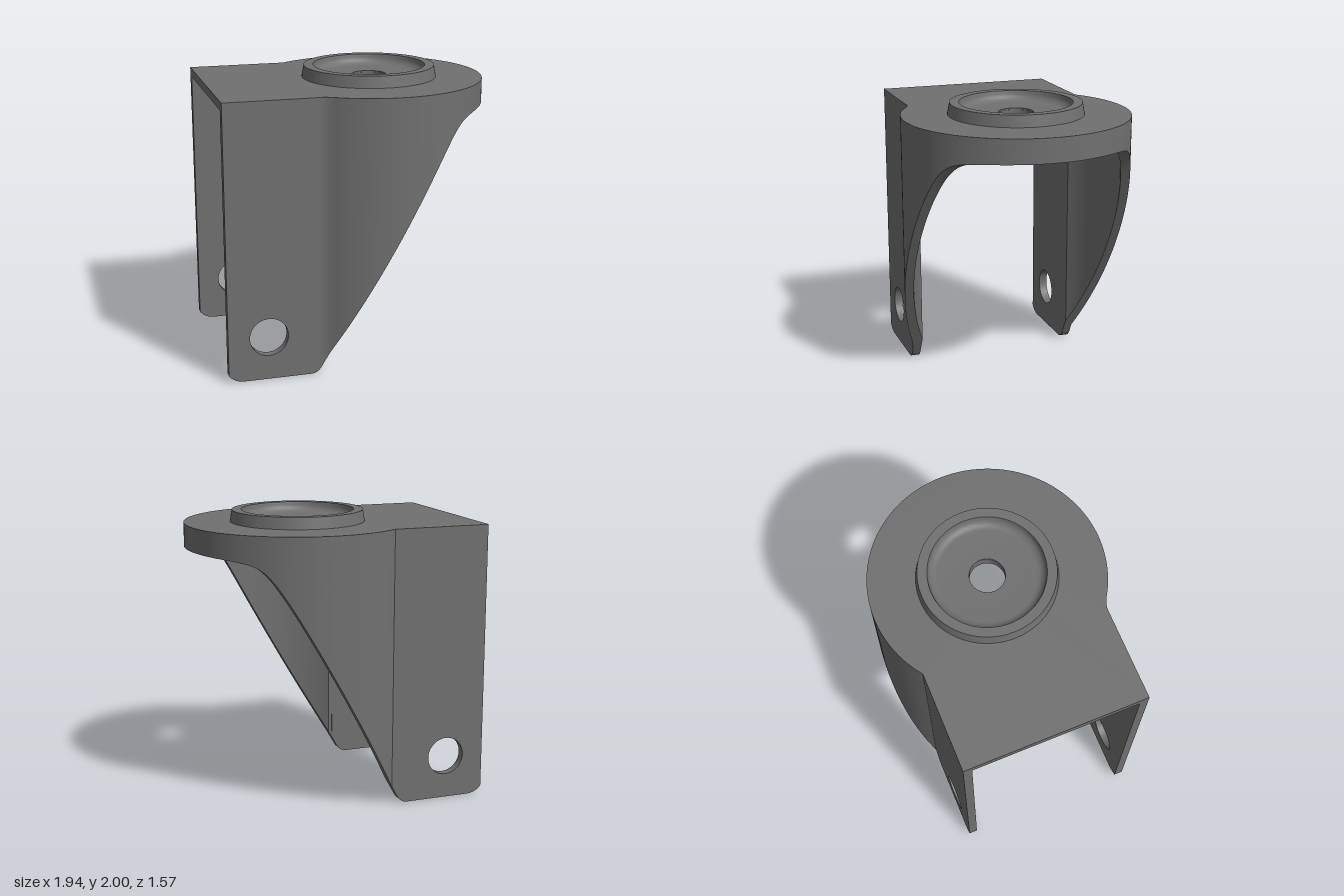
import * as THREE from 'three';
import { toCreasedNormals } from 'three/addons/utils/BufferGeometryUtils.js';

const CX = 0.183;                 // swivel axis
const R_OUT = 0.785, R_IN = 0.72; // curved wall radii
const Z_OUT = 0.63, Z_IN = 0.57;  // flat arm faces
const BACK = -0.97, TOP = 1.92, UNDER = 1.86;
const HOLE_R = 0.118;
const GAP = 0.001;                // keeps hidden faces just under the top skin
const T_OUT = Math.PI - Math.asin(Z_OUT / R_OUT);
const T_IN = Math.PI - Math.asin(Z_IN / R_IN);
const JOIN = CX + R_OUT * Math.cos(T_OUT);
const FILLET_X = -0.335, FILLET_T = Math.acos(-0.423 / R_OUT);
const ARC_STEPS = 128, FILLET_STEPS = 8;

// lower edge of the wall: a slanted line blending into a level rim
function edgeHeight(x) {
  const a = 1 + 1.8 * (x - 0.2), b = 1.766;
  return (a + b - Math.hypot(a - b, 0.17)) / 2;
}

// plan points (x, z) round the swivel axis, from the front arm to the back arm
function arcPoints(r, from, to) {
  return Array.from({ length: ARC_STEPS + 1 }, (_, i) => {
    const t = from + (to - from) * i / ARC_STEPS;
    return new THREE.Vector2(CX + r * Math.cos(t), r * Math.sin(t));
  });
}

// outer outline: a small fillet at the front joint, a sharp joint at the back
function outerPath() {
  const arc = arcPoints(R_OUT, FILLET_T, -T_OUT);
  const fillet = new THREE.QuadraticBezierCurve(
    new THREE.Vector2(FILLET_X, Z_OUT), new THREE.Vector2(-0.288, Z_OUT), arc[0]);
  return [...fillet.getPoints(FILLET_STEPS).slice(0, -1), ...arc, new THREE.Vector2(JOIN, -Z_OUT)];
}

function innerPath() {
  const arc = arcPoints(R_IN, T_IN, -T_IN);
  const lead = new THREE.LineCurve(new THREE.Vector2(FILLET_X, Z_IN + 0.002), arc[0]);
  return [...lead.getPoints(FILLET_STEPS).slice(0, -1), ...arc, new THREE.Vector2(JOIN, -Z_IN)];
}

// plan shape of a path closed along the back edge, with the swivel hole
function planShape(path, z) {
  const corners = [new THREE.Vector2(BACK, -z), new THREE.Vector2(BACK, z)];
  const s = new THREE.Shape([...corners, ...path].map(p => new THREE.Vector2(p.x, -p.y)));
  s.holes.push(new THREE.Path().absarc(CX, 0, HOLE_R, 0, Math.PI * 2, true));
  return s;
}

function skinGeometry() {
  const g = new THREE.ShapeGeometry(planShape(outerPath(), Z_OUT), 32);
  return g.rotateX(-Math.PI / 2).translate(0, TOP, 0);
}

function plateGeometry() {
  const g = new THREE.ExtrudeGeometry(planShape(innerPath(), Z_IN),
    { depth: TOP - UNDER - GAP, bevelEnabled: false, curveSegments: 32 });
  g.rotateX(-Math.PI / 2).translate(0, UNDER, 0);
  return toCreasedNormals(g, 0.5);
}

// flat arm with the axle hole
function armGeometry() {
  const s = new THREE.Shape();
  s.moveTo(BACK, TOP - GAP);
  s.lineTo(BACK, 0.05);
  s.quadraticCurveTo(-0.93, 0, -0.86, 0);
  s.lineTo(-0.4, 0);
  s.quadraticCurveTo(-0.35, 0, -0.32, 0.06);
  s.lineTo(JOIN, edgeHeight(JOIN));
  s.lineTo(JOIN, TOP - GAP);
  s.closePath();
  s.holes.push(new THREE.Path().absarc(-0.69, 0.302, 0.132, 0, Math.PI * 2, true));
  const g = new THREE.ExtrudeGeometry(s, { depth: Z_OUT - Z_IN, bevelEnabled: false, curveSegments: 24 });
  return toCreasedNormals(g, 0.5);
}

// curved wall: a section swept along both outlines, trimmed by edgeHeight
function wallGeometry() {
  const outer = outerPath(), inner = innerPath(), pos = [], index = [];
  outer.forEach((o, i) => {
    const n = inner[i];
    pos.push(o.x, TOP, o.y, o.x, edgeHeight(o.x), o.y,
      n.x, edgeHeight(n.x), n.y, n.x, TOP - GAP, n.y);
  });
  for (let i = 0; i < outer.length - 1; i++) {
    for (let j = 0; j < 3; j++) {
      const p = i * 4 + j, q = p + 4;
      index.push(p + 1, q + 1, q, p + 1, q, p);
    }
  }
  const g = new THREE.BufferGeometry();
  g.setAttribute('position', new THREE.Float32BufferAttribute(pos, 3));
  g.setIndex(index);
  return toCreasedNormals(g, 0.5);
}

// raised ring with a rounded dish inside
function bossGeometry() {
  const pts = [[0.467, TOP], [0.453, 2], [0.388, 2]];
  for (let i = 0; i <= 8; i++) {
    const a = (i / 8) * Math.PI / 2;
    pts.push([0.325 + 0.06 * Math.cos(a), 1.99 - 0.06 * Math.sin(a)]);
  }
  pts.push([HOLE_R, 1.93], [HOLE_R, TOP]);
  const g = new THREE.LatheGeometry(pts.map(p => new THREE.Vector2(...p)), 96);
  g.translate(CX, 0, 0);
  return toCreasedNormals(g, 0.5);
}

export function createModel() {
  const model = new THREE.Group();
  model.name = 'casterFork';
  const darkGrey = new THREE.MeshStandardMaterial({ color: 0x707070, side: THREE.DoubleSide });
  const add = (name, geometry) => {
    const mesh = new THREE.Mesh(geometry, darkGrey);
    mesh.name = name;
    model.add(mesh);
    return mesh;
  };
  add('topSkin', skinGeometry());
  add('topPlate', plateGeometry());
  add('swivelBoss', bossGeometry());
  add('curvedWall', wallGeometry());
  const arm = armGeometry();
  add('frontArm', arm).position.z = Z_IN;
  add('backArm', arm).position.z = -Z_OUT;
  return model;
}
